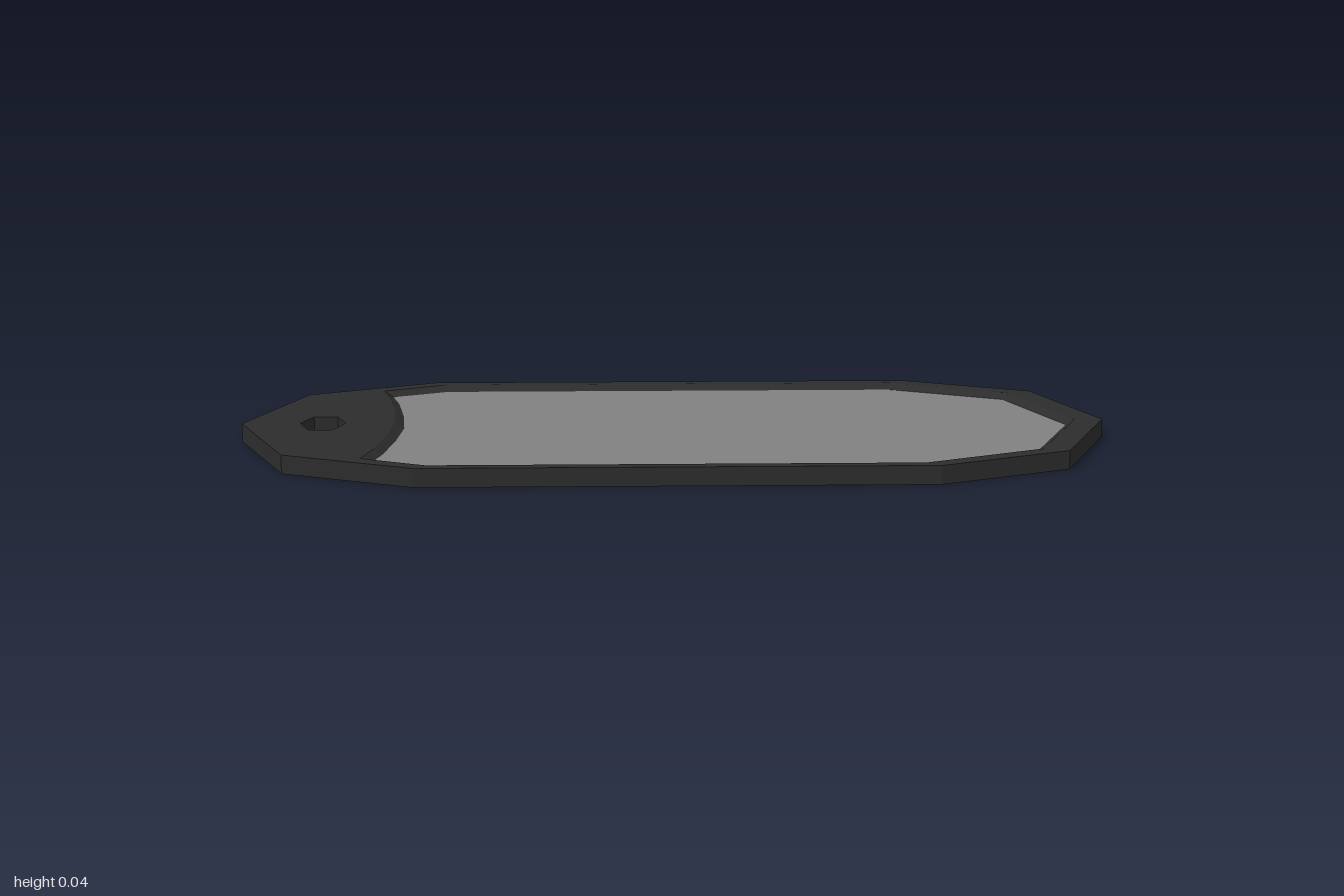
import * as THREE from 'three';

const H = 0.043;            // frame thickness
const LOW = 0.013, HIGH = 0.03; // faces of the inset panel

// Half outlines [x, z] from the +x tip to the -x side; mirrored across z = 0
const mirror = (half) => {
  const back = half.slice(1, -1).reverse().map(([x, z]) => [x, -z]);
  return [...half, ...back].map(([x, z]) => new THREE.Vector2(x, z));
};
const outline = mirror([[1, 0], [0.875, 0.3], [0.575, 0.427], [-0.575, 0.427], [-0.875, 0.3], [-1, 0]]);
const lip = mirror([[0.935, 0], [0.82, 0.28], [0.545, 0.4], [-0.55, 0.4], [-0.697, 0.335], [-0.675, 0.25], [-0.655, 0.12], [-0.647, 0]]);
const pane = mirror([[0.915, 0], [0.805, 0.265], [0.54, 0.38], [-0.545, 0.38], [-0.675, 0.325], [-0.655, 0.25], [-0.635, 0.12], [-0.625, 0]]);
const eyelet = mirror([[-0.76, 0], [-0.785, 0.065], [-0.84, 0.065], [-0.865, 0]]);

// Flat face at height y, facing up or down
function face(points, holes, y, up) {
  const shape = new THREE.Shape(points);
  shape.holes = holes.map((h) => new THREE.Path(h));
  const geo = new THREE.ShapeGeometry(shape);
  geo.rotateX(up ? -Math.PI / 2 : Math.PI / 2);
  return geo.translate(0, y, 0);
}

// Flat-shaded band joining loop a at height ya to loop b at height yb
function band(a, ya, b, yb) {
  const pos = [];
  a.forEach((p, i) => {
    const j = (i + 1) % a.length;
    const a0 = [p.x, ya, p.y], a1 = [a[j].x, ya, a[j].y];
    const b0 = [b[i].x, yb, b[i].y], b1 = [b[j].x, yb, b[j].y];
    pos.push(...a0, ...b0, ...a1, ...a1, ...b0, ...b1);
  });
  const geo = new THREE.BufferGeometry();
  geo.setAttribute('position', new THREE.Float32BufferAttribute(pos, 3));
  geo.computeVertexNormals();
  return geo;
}

export function createModel() {
  const model = new THREE.Group();
  model.name = 'tag';
  const dark = new THREE.MeshStandardMaterial({ color: 0x2c2c2c, flatShading: true });
  const grey = new THREE.MeshStandardMaterial({ color: 0x808080, flatShading: true });

  const group = (name) => {
    const g = new THREE.Group();
    g.name = name;
    model.add(g);
    return g;
  };
  const add = (parent, name, geo, mat) => {
    const mesh = new THREE.Mesh(geo, mat);
    mesh.name = name;
    parent.add(mesh);
  };

  // Frame: flat rim with tab, outer edge, eyelet and sloped inner lips
  const frame = group('frame');
  add(frame, 'frameTop', face(outline, [lip, eyelet], H, true), dark);
  add(frame, 'frameBottom', face(outline, [lip, eyelet], 0, false), dark);
  add(frame, 'outerEdge', band(outline, 0, outline, H), dark);
  add(frame, 'eyeletWall', band(eyelet, H, eyelet, 0), dark);
  add(frame, 'upperLip', band(lip, H, pane, HIGH), dark);
  add(frame, 'lowerLip', band(pane, LOW, lip, 0), dark);

  // Inset panel, visible from both sides
  const panel = group('panel');
  add(panel, 'panelTop', face(pane, [], HIGH, true), grey);
  add(panel, 'panelBottom', face(pane, [], LOW, false), grey);

  return model;
}
